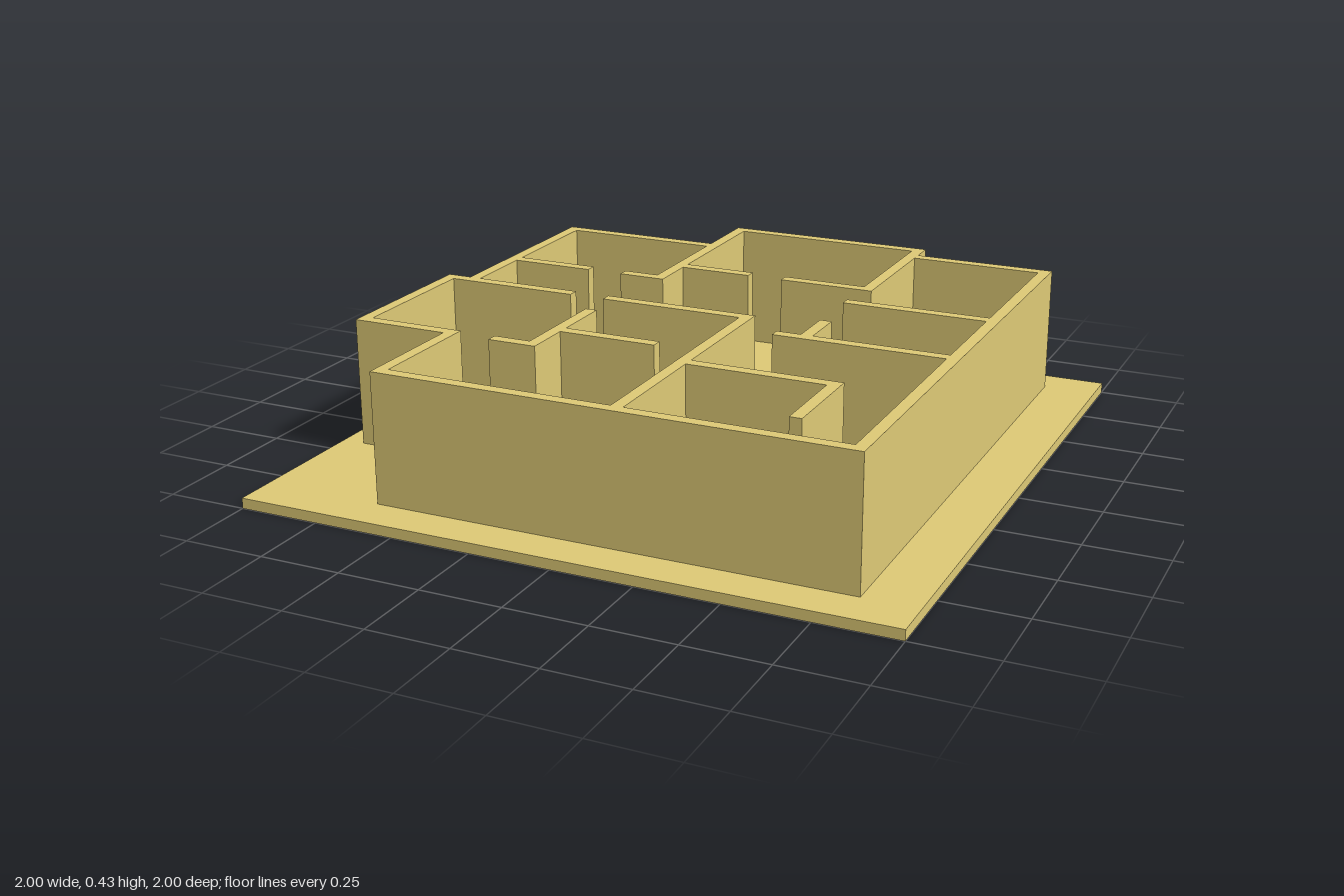
import * as THREE from 'three';

const FLOOR = 0.032; // slab thickness
const TOP = 0.43;    // top of the walls
const T = 0.037;     // wall thickness

export function createModel() {
  const model = new THREE.Group();
  model.name = 'floorPlan';
  const material = new THREE.MeshStandardMaterial({ color: 0xdcc875, flatShading: true });

  // Box between two corners on the plan, standing from y0 to y1
  function block(parent, name, x0, x1, z0, z1, y0 = FLOOR, y1 = TOP) {
    const mesh = new THREE.Mesh(new THREE.BoxGeometry(x1 - x0, y1 - y0, z1 - z0), material);
    mesh.position.set((x0 + x1) / 2, (y0 + y1) / 2, (z0 + z1) / 2);
    mesh.name = name;
    parent.add(mesh);
  }
  // Walls are given by their low edge and their span; thickness is constant
  const alongX = (g, name, z, x0, x1) => block(g, name, x0, x1, z, z + T);
  const alongZ = (g, name, x, z0, z1) => block(g, name, x, x + T, z0, z1);

  function group(name) {
    const g = new THREE.Group();
    g.name = name;
    model.add(g);
    return g;
  }

  block(model, 'baseSlab', -1, 1, -1, 1, 0, FLOOR);

  // Stepped outer shell, clockwise from the back room; walls abut, never overlap
  const outer = group('outerWalls');
  alongX(outer, 'backWall', -0.97, -0.315, 0.377);
  alongZ(outer, 'backRoomLeftWall', 0.34, -0.97 + T, -0.433);
  alongX(outer, 'backLeftWall', -0.89, 0.377, 0.835);
  alongZ(outer, 'leftWall', 0.835 - T, -0.89 + T, 0.875 - T);
  alongX(outer, 'frontWall', 0.875 - T, -0.623, 0.835);
  alongZ(outer, 'frontRightWall', -0.623, 0.49, 0.875 - T);
  alongX(outer, 'frontRightStepWall', 0.49 - T, -0.93, -0.623 + T);
  alongZ(outer, 'rightWall', -0.93, -0.045 + T, 0.49 - T);
  alongX(outer, 'rightStepWall', -0.045, -0.93, -0.467);
  alongZ(outer, 'backRightSideWall', -0.853, -0.738 + T, -0.045);
  alongX(outer, 'backRightWall', -0.738, -0.853, -0.315);
  alongZ(outer, 'backRoomRightWall', -0.315, -0.97 + T, -0.28);

  // Partitions with door gaps around the back rooms
  const back = group('backPartitions');
  alongX(back, 'backRoomDoorWallRight', -0.47, -0.315 + T, -0.045);
  alongX(back, 'backRoomDoorWallLeft', -0.47, 0.07, 0.34);
  alongX(back, 'backRightDoorWallOuter', -0.28 - T, -0.853 + T, -0.548);
  alongX(back, 'backRightDoorWallInner', -0.28 - T, -0.43, -0.315);

  // Left side partitions
  const left = group('leftPartitions');
  alongX(left, 'leftRoomBackWall', -0.28 - T, 0.34, 0.835 - T);
  alongX(left, 'leftRoomFrontWall', 0.067, 0.263, 0.835 - T);
  alongZ(left, 'leftRoomStub', 0.34, -0.087, 0.067);
  alongX(left, 'frontRoomWall', 0.414, 0.109 + T, 0.607);
  alongZ(left, 'frontRoomStub', 0.607 - T, 0.414 + T, 0.722);

  // Central dividing wall
  const centre = group('centreWalls');
  alongX(centre, 'hallWall', -0.045, -0.353, 0.109 + T);
  alongZ(centre, 'dividingWall', 0.109, -0.045 + T, 0.875 - T);

  // Free-standing partition inside the front right room
  const island = group('islandWalls');
  alongZ(island, 'islandSpine', -0.353, 0.105, 0.49);
  alongX(island, 'islandArm', 0.3, -0.353 + T, -0.008);
  alongX(island, 'islandFoot', 0.49 - T, -0.47, -0.353);

  return model;
}
